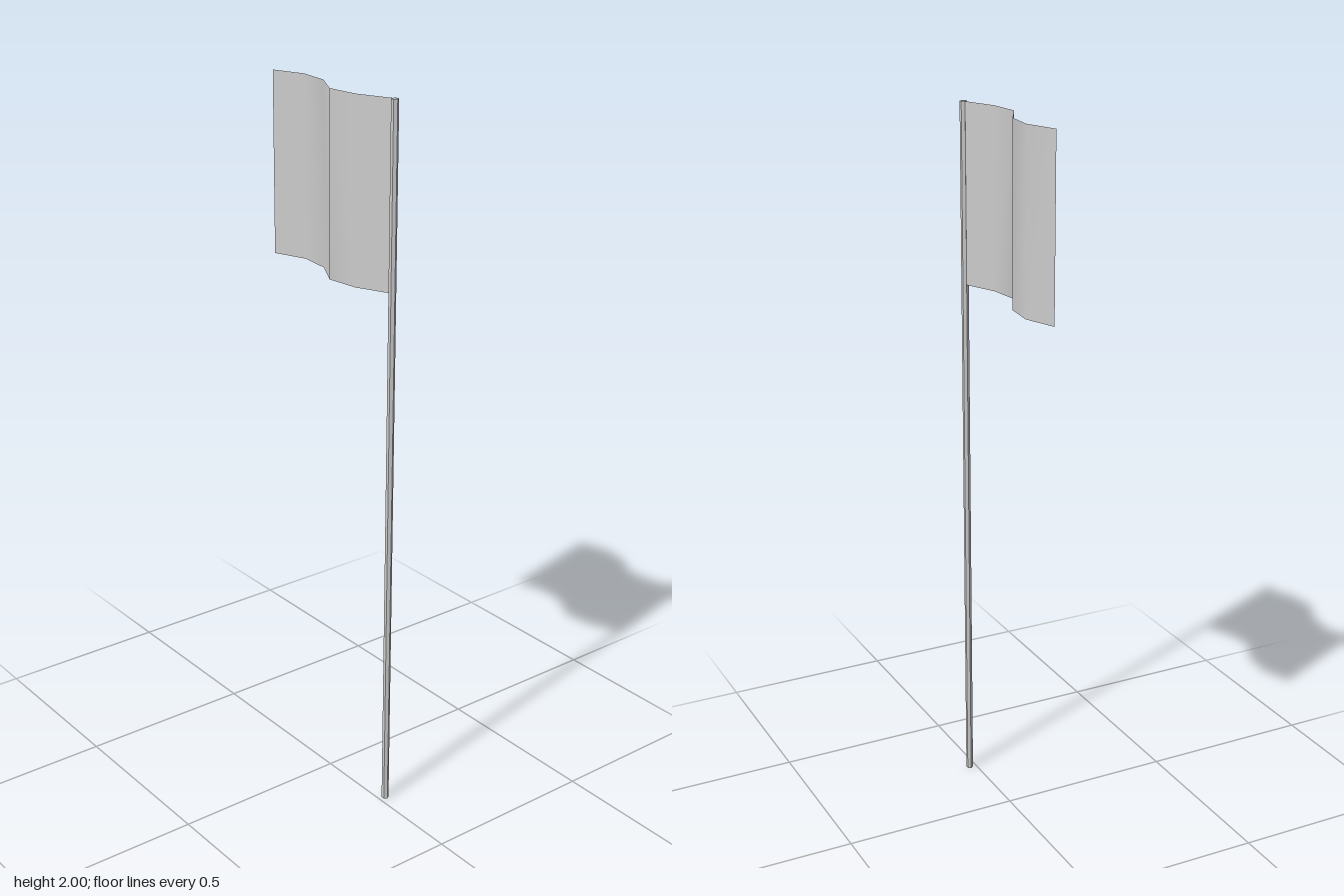
import * as THREE from 'three';

export function createModel() {
  const group = new THREE.Group();
  group.name = 'flagOnPole';

  // Slim six-sided pole
  const pole = new THREE.Mesh(
    new THREE.CylinderGeometry(0.01, 0.01, 2, 6),
    new THREE.MeshStandardMaterial({ color: 0xcccccc, flatShading: true })
  );
  pole.name = 'pole';
  pole.position.set(0.02, 1, 0.23);
  group.add(pole);

  // Waving cloth: a plane whose columns follow a wave running back from the pole
  const wave = [0.02, -0.02, -0.031, 0.02, 0.029, -0.005];
  const zStart = 0.221, zEnd = -0.24, bottom = 1.505, top = 2;
  const cloth = new THREE.PlaneGeometry(1, 1, wave.length - 1, 1);
  const pos = cloth.attributes.position;
  for (let i = 0; i < pos.count; i++) {
    const t = pos.getX(i) + 0.5;
    const x = wave[Math.round(t * (wave.length - 1))];
    const y = THREE.MathUtils.lerp(bottom, top, pos.getY(i) + 0.5);
    pos.setXYZ(i, x, y, THREE.MathUtils.lerp(zStart, zEnd, t));
  }
  cloth.computeVertexNormals();
  const flag = new THREE.Mesh(
    cloth,
    new THREE.MeshStandardMaterial({ color: 0xcccccc, side: THREE.DoubleSide })
  );
  flag.name = 'flag';
  group.add(flag);

  return group;
}
